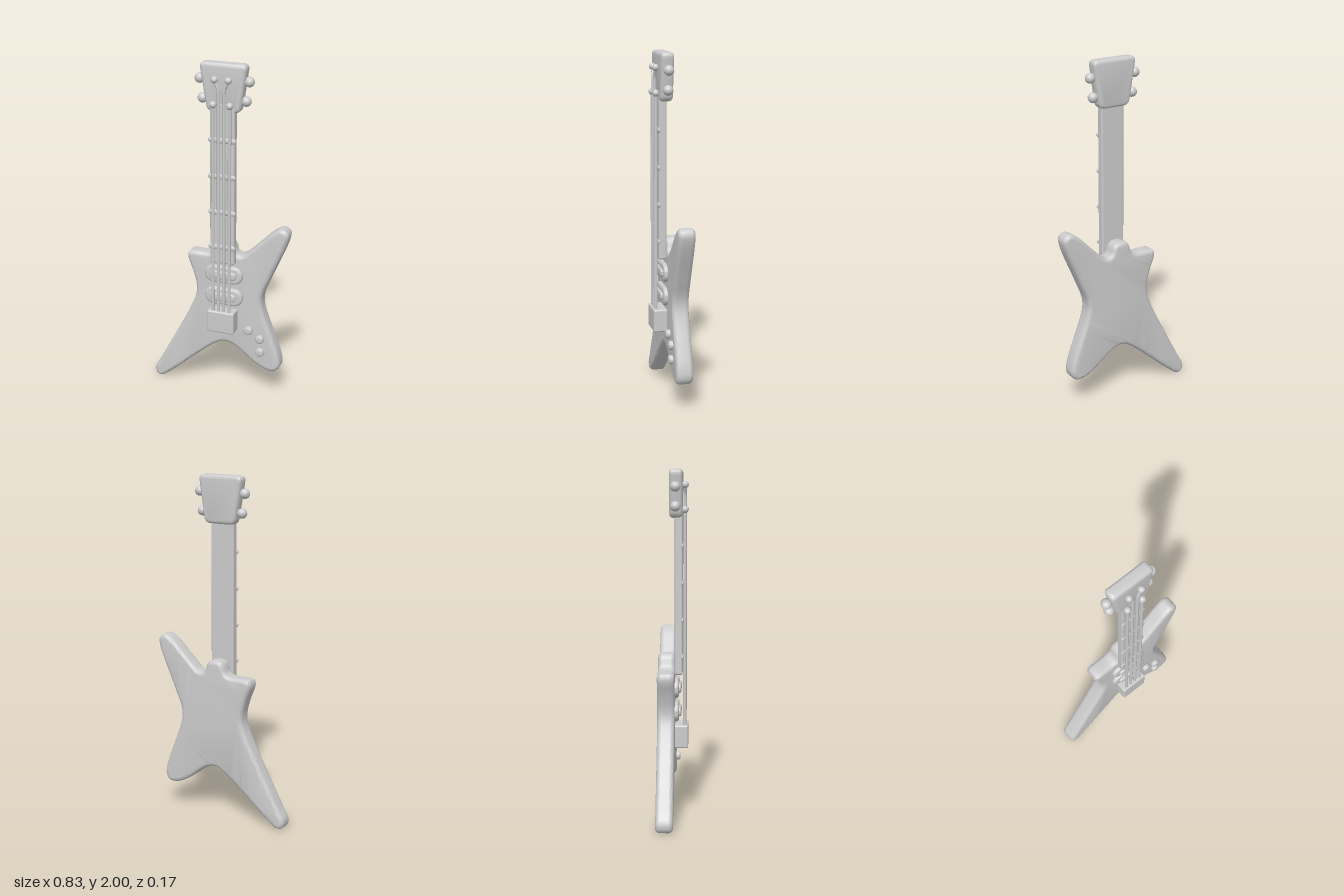
import * as THREE from 'three';
import { toCreasedNormals } from 'three/addons/utils/BufferGeometryUtils.js';
import { RoundedBoxGeometry } from 'three/addons/geometries/RoundedBoxGeometry.js';

const material = new THREE.MeshStandardMaterial({ color: 0xcccccc });
const CX = 0.036; // centre line of neck, strings and pickups

function add(parent, name, geometry, x = 0, y = 0, z = 0) {
  const mesh = new THREE.Mesh(geometry, material);
  mesh.name = name;
  mesh.position.set(x, y, z);
  parent.add(mesh);
  return mesh;
}

// Slab with rounded edges, filling z0..z1 and staying inside its outline
function slab(shape, z0, z1, bevel, curveSegments = 10) {
  const g = new THREE.ExtrudeGeometry(shape, {
    depth: z1 - z0 - 2 * bevel, bevelEnabled: true, bevelThickness: bevel,
    bevelSize: bevel, bevelOffset: -bevel, bevelSegments: 5, curveSegments,
  });
  g.translate(0, 0, z0 + bevel);
  return toCreasedNormals(g, 0.7);
}

// Polygon with every corner rounded
function roundedPolygon(points, r) {
  const p = points.map(([x, y]) => new THREE.Vector2(x, y));
  const shape = new THREE.Shape();
  p.forEach((c, i) => {
    const prev = p[(i + p.length - 1) % p.length], next = p[(i + 1) % p.length];
    const a = prev.clone().sub(c).setLength(r).add(c);
    const b = next.clone().sub(c).setLength(r).add(c);
    if (i === 0) shape.moveTo(a.x, a.y); else shape.lineTo(a.x, a.y);
    shape.quadraticCurveTo(c.x, c.y, b.x, b.y);
  });
  shape.closePath();
  return shape;
}

// Horizontal pill shape around the origin
function pill(halfWidth, r) {
  const s = new THREE.Shape();
  s.absarc(halfWidth - r, 0, r, -Math.PI / 2, Math.PI / 2, false);
  s.absarc(-halfWidth + r, 0, r, Math.PI / 2, Math.PI * 1.5, false);
  s.closePath();
  return s;
}

export function createModel() {
  const guitar = new THREE.Group();
  guitar.name = 'guitar';

  // Body: four-pointed outline with a small heel behind the neck
  const outline = [
    [-0.196, 0.825], [-0.19, 0.855], [-0.16, 0.862], [-0.055, 0.866],
    [-0.03, 0.885], [-0.02, 0.92], [0, 0.945], [0.035, 0.95], [0.07, 0.945], [0.09, 0.92], [0.1, 0.885],
    [0.13, 0.872], [0.16, 0.887], [0.24, 0.962], [0.328, 1.045], [0.375, 1.066], [0.412, 1.04], [0.407, 0.99],
    [0.312, 0.76], [0.265, 0.643], [0.26, 0.585], [0.275, 0.52],
    [0.37, 0.257], [0.375, 0.198], [0.349, 0.163], [0.296, 0.163], [0.222, 0.198],
    [0.095, 0.292], [0.042, 0.307], [-0.011, 0.292],
    [-0.307, 0.05], [-0.375, 0.003], [-0.41, 0.014], [-0.417, 0.055], [-0.38, 0.124],
    [-0.175, 0.516], [-0.145, 0.6], [-0.144, 0.653], [-0.164, 0.733],
  ].map(([x, y]) => new THREE.Vector3(x, y, 0));
  const curve = new THREE.CatmullRomCurve3(outline, true, 'centripetal');
  const bodyShape = new THREE.Shape(curve.getSpacedPoints(200).slice(0, -1).map(p => new THREE.Vector2(p.x, p.y)));
  add(guitar, 'body', slab(bodyShape, -0.088, 0.01, 0.024));

  // Neck and headstock
  add(guitar, 'neck', new RoundedBoxGeometry(0.147, 0.95, 0.045, 3, 0.01), CX, 1.305, 0.031);
  const head = roundedPolygon([[-0.103, 2], [-0.057, 1.727], [0.136, 1.727], [0.176, 2]], 0.035);
  add(guitar, 'headstock', slab(head, -0.022, 0.052, 0.02));

  // Frets: flattened bars whose ends show past the neck edges
  for (let i = 0; i < 4; i++) {
    const fret = add(guitar, 'fret', new THREE.CapsuleGeometry(0.015, 0.134, 5, 12), CX, 0.932 + i * 0.212, 0.053);
    fret.rotation.z = Math.PI / 2;
    fret.scale.z = 0.5;
  }

  // Tuning pegs on both sides of the headstock
  for (const side of [-1, 1]) {
    for (const [dx, y] of [[0.144, 1.903], [0.127, 1.793]]) {
      add(guitar, 'tuningPeg', new THREE.SphereGeometry(0.029, 20, 14), CX + side * dx, y, 0.013);
    }
  }

  // Strings and their posts; the inner pair spreads towards the upper posts
  for (const side of [-1, 1]) {
    const at = (dx, y) => new THREE.Vector3(CX + side * dx, y, 0.066);
    const outer = new THREE.LineCurve3(at(0.049, 0.5), at(0.049, 1.772));
    const inner = new THREE.CurvePath();
    inner.add(new THREE.LineCurve3(at(0.016, 0.5), at(0.016, 1.835)));
    inner.add(new THREE.QuadraticBezierCurve3(at(0.016, 1.835), at(0.016, 1.86), at(0.026, 1.88)));
    inner.add(new THREE.LineCurve3(at(0.026, 1.88), at(0.04, 1.912)));
    add(guitar, 'outerString', new THREE.TubeGeometry(outer, 2, 0.0095, 10));
    add(guitar, 'innerString', new THREE.TubeGeometry(inner, 80, 0.0095, 10));
    for (const [dx, y] of [[0.049, 1.772], [0.04, 1.912]]) {
      add(guitar, 'stringPost', new THREE.SphereGeometry(0.02, 18, 12), CX + side * dx, y, 0.066);
    }
  }

  // Pickups: pill-shaped base with a smaller raised pill
  for (const y of [0.75, 0.612]) {
    add(guitar, 'pickupBase', slab(pill(0.116, 0.054), -0.005, 0.033, 0.014), CX, y);
    add(guitar, 'pickupCore', slab(pill(0.08, 0.025), 0.01, 0.046, 0.008), CX, y);
  }

  // Bridge
  add(guitar, 'bridge', new RoundedBoxGeometry(0.166, 0.134, 0.09, 3, 0.01), CX, 0.469, 0.041);

  // Control knobs with rounded rims
  const profile = [[0.026, -0.005], [0.026, 0.023], [0.0245, 0.029], [0.02, 0.033], [0.014, 0.0345], [0, 0.035]]
    .map(([x, y]) => new THREE.Vector2(x, y));
  for (const [x, y] of [[0.188, 0.413], [0.259, 0.368], [0.261, 0.284]]) {
    add(guitar, 'knob', new THREE.LatheGeometry(profile, 24), x, y).rotation.x = Math.PI / 2;
  }

  return guitar;
}
